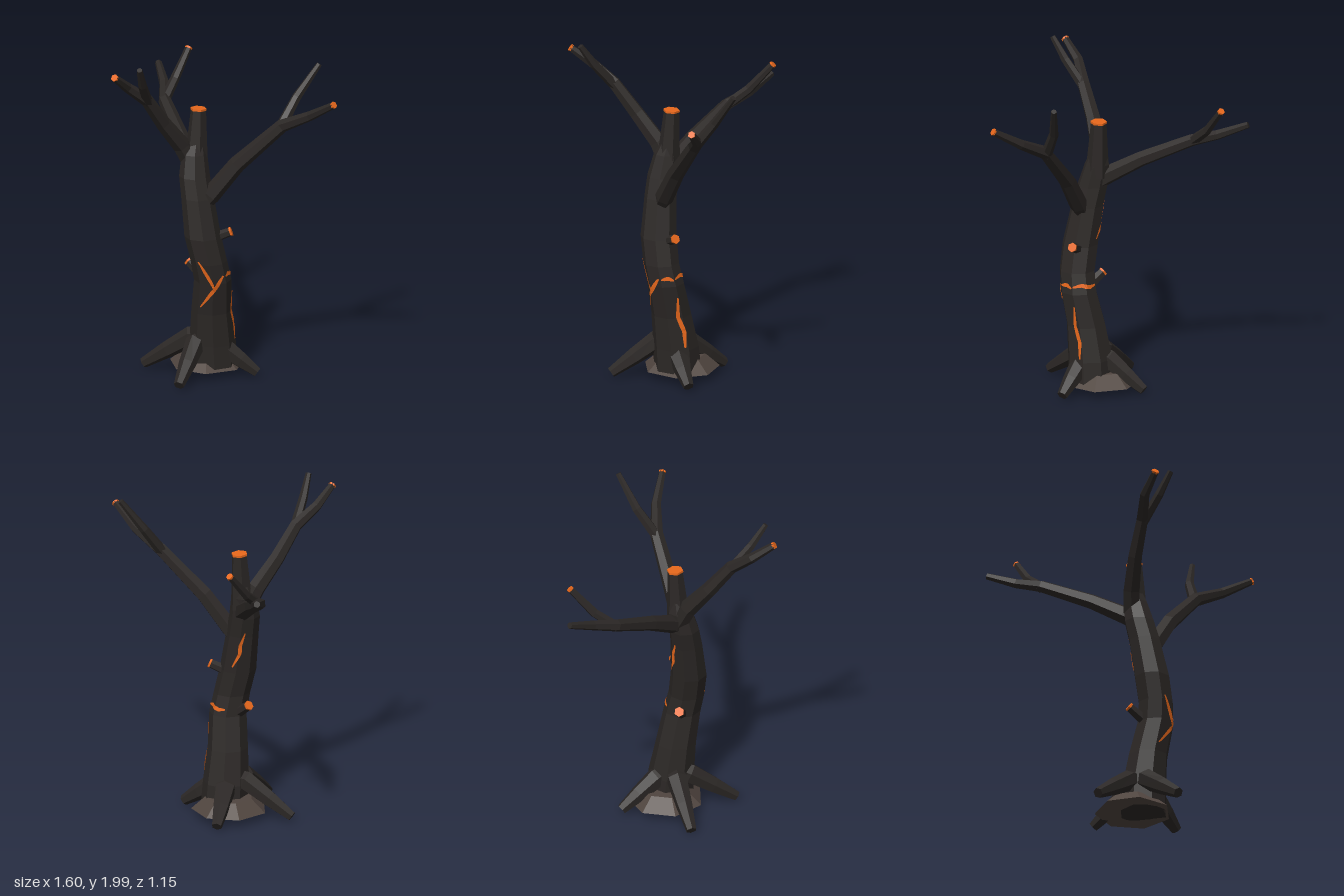
import * as THREE from 'three';

const flat = (color) => new THREE.MeshStandardMaterial({ color, flatShading: true });
const bark = flat(0x2b2725), ember = flat(0xe8681c), soil = flat(0x50453f);
ember.side = THREE.DoubleSide;
const V = (p) => new THREE.Vector3(p[0], p[1], p[2]);

// Skin a list of rings (arrays of Vector3) and close both ends
function loft(rings) {
  const n = rings[0].length, pos = rings.flat().flatMap((p) => p.toArray()), idx = [];
  for (let i = 0; i < rings.length - 1; i++) {
    for (let j = 0; j < n; j++) {
      const a = i * n + j, b = i * n + (j + 1) % n;
      idx.push(a, b, a + n, b, b + n, a + n);
    }
  }
  const last = (rings.length - 1) * n;
  for (let j = 1; j < n - 1; j++) idx.push(0, j + 1, j, last, last + j, last + j + 1);
  const g = new THREE.BufferGeometry();
  g.setAttribute('position', new THREE.Float32BufferAttribute(pos, 3));
  g.setIndex(idx);
  g.computeVertexNormals();
  return g;
}

// Tapered six-sided limb along points [x, y, z, radius]
function limbGeometry(points, sides = 6) {
  const c = points.map(V);
  let u = null;
  return loft(c.map((p, i) => {
    const t = c[Math.min(i + 1, c.length - 1)].clone().sub(c[Math.max(i - 1, 0)]).normalize();
    if (!u) u = Math.abs(t.y) > 0.9 ? new THREE.Vector3(0, 0, 1) : new THREE.Vector3(0, 1, 0);
    u = u.clone().addScaledVector(t, -u.dot(t)).normalize();
    const v = t.clone().cross(u);
    return Array.from({ length: sides }, (_, k) => {
      const a = (k / sides) * Math.PI * 2, r = points[i][3];
      return p.clone().addScaledVector(u, Math.cos(a) * r).addScaledVector(v, Math.sin(a) * r);
    });
  }));
}

function addLimb(parent, name, points, glowing = false) {
  const limb = new THREE.Mesh(limbGeometry(points), bark);
  limb.name = name;
  parent.add(limb);
  if (!glowing) return;
  // glowing cut at the end of the limb
  const end = points[points.length - 1], tip = V(end);
  const dir = tip.clone().sub(V(points[points.length - 2])).normalize();
  const ring = (d, r) => [...tip.clone().addScaledVector(dir, d).toArray(), r];
  const cap = new THREE.Mesh(limbGeometry([ring(-0.008, end[3] * 1.08), ring(0.004, end[3] * 1.08)]), ember);
  cap.name = name + 'GlowingEnd';
  parent.add(cap);
}

// Trunk sections: x, y, z, radius
const SIDES = 8;
const trunk = [
  [0.035, 0.05, -0.11, 0.14], [0.035, 0.2, -0.1, 0.135], [0.05, 0.4, -0.075, 0.118],
  [0.085, 0.6, -0.047, 0.109], [0.08, 0.72, -0.02, 0.106], [0.05, 0.87, 0, 0.107],
  [0.005, 1.1, -0.003, 0.095], [-0.025, 1.22, -0.01, 0.09], [-0.045, 1.35, -0.03, 0.074],
  [-0.045, 1.42, -0.045, 0.05],
];

// Point on the faceted trunk at height y and angle (degrees, 0 = +x, 90 = +z)
function onTrunk(y, deg, lift) {
  let i = 0;
  while (i < trunk.length - 2 && trunk[i + 1][1] < y) i++;
  const f = (y - trunk[i][1]) / (trunk[i + 1][1] - trunk[i][1]);
  const [x, , z, r] = trunk[i].map((v, k) => THREE.MathUtils.lerp(v, trunk[i + 1][k], f));
  const a = THREE.MathUtils.degToRad(deg), w = (Math.PI * 2) / SIDES;
  const off = THREE.MathUtils.euclideanModulo(a, w) - w / 2;
  const d = r * Math.cos(w / 2) / Math.cos(off) + lift;
  return new THREE.Vector3(x + Math.cos(a) * d, y, z + Math.sin(a) * d);
}

// Glowing crack following [height, angle] points, narrowing at both ends
function crack(points, width) {
  const pos = [], idx = [], steps = 6, total = (points.length - 1) * steps;
  for (let s = 0; s <= total; s++) {
    const i = Math.min(Math.floor(s / steps), points.length - 2), f = s / steps - i;
    const [a, b] = [points[i], points[i + 1]];
    const dy = b[0] - a[0], dx = (b[1] - a[1]) * 0.0019, len = Math.hypot(dx, dy);
    const h = (width / 2) * (0.35 + 0.65 * Math.sin((s / total) * Math.PI));
    for (const side of [-1, 1]) {
      const y = a[0] + dy * f + side * h * dx / len;
      const deg = a[1] + (b[1] - a[1]) * f - side * h * dy / len / 0.0019;
      pos.push(...onTrunk(y, deg, 0.005).toArray());
    }
    if (s < total) idx.push(2 * s, 2 * s + 1, 2 * s + 2, 2 * s + 1, 2 * s + 3, 2 * s + 2);
  }
  const g = new THREE.BufferGeometry();
  g.setAttribute('position', new THREE.Float32BufferAttribute(pos, 3));
  g.setIndex(idx);
  g.computeVertexNormals();
  return new THREE.Mesh(g, ember);
}

export function createModel() {
  const tree = new THREE.Group();
  tree.name = 'burntTree';

  // Mound of earth
  const mound = new THREE.Mesh(new THREE.CylinderGeometry(0.14, 0.225, 0.075, 7), soil);
  mound.name = 'mound';
  mound.position.set(-0.025, 0.0875, -0.12);
  mound.rotation.y = -2.88;
  tree.add(mound);

  // Trunk with a snapped top
  const body = new THREE.Mesh(loft(trunk.map(([x, y, z, r]) => Array.from({ length: SIDES }, (_, k) => {
    const a = (k / SIDES) * Math.PI * 2;
    return new THREE.Vector3(x + r * Math.cos(a), y, z - r * Math.sin(a));
  }))), bark);
  body.name = 'trunk';
  tree.add(body);
  addLimb(tree, 'brokenTop', [[-0.04, 1.28, -0.04, 0.07], [-0.04, 1.615, -0.06, 0.045]], true);

  // Roots: inner end, outer end
  const roots = [
    [[-0.08, 0.215, -0.04], [-0.325, 0.032, 0.105]],
    [[0.01, 0.21, 0.02], [0.112, 0.032, 0.27]],
    [[0.11, 0.17, -0.12], [0.28, 0.032, -0.22]],
    [[-0.05, 0.19, -0.17], [-0.19, 0.032, -0.345]],
  ];
  roots.forEach(([a, b]) => {
    const mid = a.map((v, i) => (v + b[i]) / 2);
    addLimb(tree, 'root', [[0.03, 0.23, -0.09, 0.05], [...a, 0.062], [...mid, 0.05], [...b, 0.031]]);
  });

  // Left branch with twig
  addLimb(tree, 'leftBranch', [[0.03, 1.05, -0.01, 0.05], [0.08, 1.12, -0.04, 0.055], [0.2, 1.31, -0.13, 0.05],
    [0.42, 1.56, -0.28, 0.04], [0.6, 1.65, -0.325, 0.03], [0.785, 1.757, -0.33, 0.02]], true);
  addLimb(tree, 'leftTwig', [[0.41, 1.54, -0.27, 0.034], [0.425, 1.71, -0.4, 0.028], [0.488, 1.895, -0.525, 0.017]]);

  // Right branch with twig
  addLimb(tree, 'rightBranch', [[-0.04, 1.25, -0.04, 0.055], [-0.1, 1.285, -0.065, 0.055], [-0.27, 1.38, -0.15, 0.046],
    [-0.53, 1.5, -0.295, 0.037], [-0.64, 1.55, -0.41, 0.03], [-0.785, 1.62, -0.515, 0.02]]);
  addLimb(tree, 'rightTwig', [[-0.53, 1.49, -0.29, 0.032], [-0.565, 1.59, -0.42, 0.028], [-0.585, 1.745, -0.56, 0.02]], true);

  // Front branch with twig
  addLimb(tree, 'frontBranch', [[-0.065, 1.28, -0.03, 0.055], [-0.09, 1.4, 0.03, 0.053], [-0.115, 1.56, 0.16, 0.045],
    [-0.12, 1.735, 0.295, 0.038], [-0.152, 1.835, 0.425, 0.03], [-0.133, 1.93, 0.555, 0.021]], true);
  addLimb(tree, 'frontTwig', [[-0.115, 1.72, 0.29, 0.03], [-0.055, 1.86, 0.4, 0.026], [-0.01, 1.985, 0.475, 0.017]]);

  // Broken side stubs
  addLimb(tree, 'leftStub', [[0.06, 0.84, -0.03, 0.034], [0.163, 0.893, -0.12, 0.026]], true);
  addLimb(tree, 'rightStub', [[0.03, 0.6, -0.035, 0.036], [-0.085, 0.68, -0.025, 0.027]], true);

  // Glowing cracks in the bark
  const cracks = [
    [[0.45, 82], [0.55, 48], [0.61, 25], [0.65, 6]],
    [[0.74, 80], [0.65, 58], [0.57, 42]],
    [[0.645, -2], [0.652, -25], [0.638, -42]],
    [[0.645, -46], [0.655, -75], [0.64, -105], [0.645, -128]],
    [[0.53, -42], [0.41, -31], [0.32, -41], [0.22, -36]],
    [[1.13, -150], [1.05, -138], [1, -140], [0.91, -120]],
  ];
  cracks.forEach((points) => {
    const mesh = crack(points, 0.024);
    mesh.name = 'glowingCrack';
    tree.add(mesh);
  });

  return tree;
}
